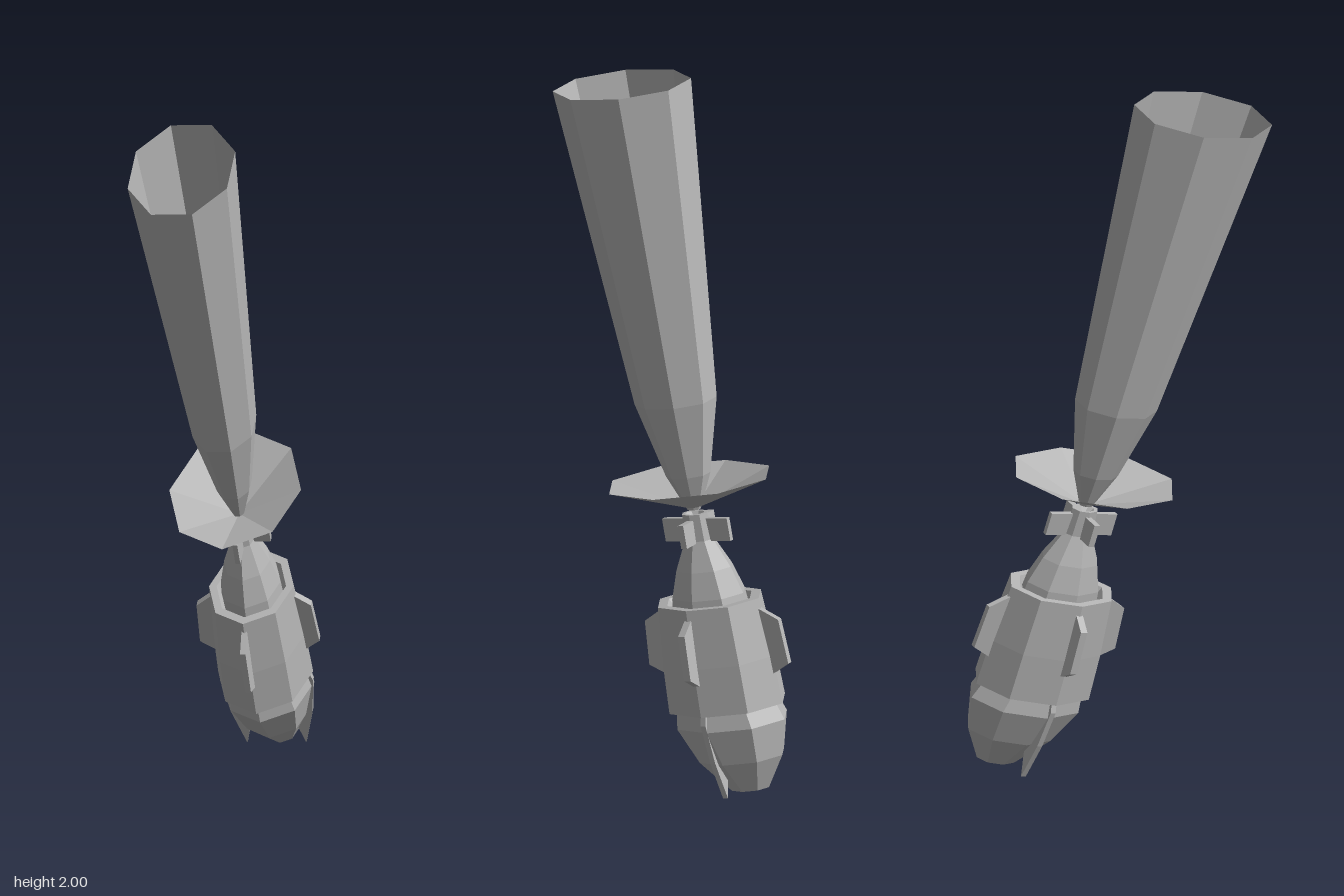
import * as THREE from 'three';

export function createModel() {
  const model = new THREE.Group();
  model.name = 'divingRocket';
  const grey = new THREE.MeshStandardMaterial({ color: 0xb4b4b4, flatShading: true, side: THREE.DoubleSide });
  grey.name = 'plain grey';

  // Lean of the whole craft: axis tipped forward, cross-sections stretched and skewed in depth
  const tilt = 0.272;
  const across = new THREE.Vector3(0, -Math.sin(tilt), Math.cos(tilt));
  const lean = new THREE.Matrix4().makeBasis(
    new THREE.Vector3(1, 0, 0).addScaledVector(across, 0.24),
    new THREE.Vector3(-0.0165, Math.cos(tilt), Math.sin(tilt)),
    across.clone().multiplyScalar(1.3)
  ).setPosition(0, 0.78, -0.08);

  const add = (name, geometry, parent = model) => {
    geometry.applyMatrix4(lean);
    geometry.computeVertexNormals();
    const mesh = new THREE.Mesh(geometry, grey);
    mesh.name = name;
    parent.add(mesh);
  };

  // Eight-sided turned part from [radius, height] pairs, listed bottom to top
  const turned = (points, start = Math.PI / 8) =>
    new THREE.LatheGeometry(points.map(([r, y]) => new THREE.Vector2(r, y)), 8, start);

  // Thin radial plate from [radius, height] pairs
  const plate = (points, angle, thickness = 0.016) => {
    const shape = new THREE.Shape(points.map(([r, y]) => new THREE.Vector2(r, y)));
    return new THREE.ExtrudeGeometry(shape, { depth: thickness, bevelEnabled: false })
      .translate(0, 0, -thickness / 2).rotateY(angle);
  };

  const fins = (name, points, count, thickness) => {
    const group = new THREE.Group();
    group.name = name + 's';
    for (let i = 0; i < count; i++) {
      add(name, plate(points, Math.PI / 8 + (i * 2 * Math.PI) / count, thickness), group);
    }
    model.add(group);
  };

  // Open exhaust plume and the shallow flame dish at its root
  add('exhaustPlume', turned([[0.015, 0], [0.05, 0.1], [0.092, 0.31], [0.155, 1.21]], 0));
  add('flameDish', turned([[0, 0], [0.19, 0.083]]));

  // Tapered tail cone with exhaust neck
  add('tailCone', turned([
    [0.09, -0.29], [0.086, -0.24], [0.066, -0.165], [0.034, -0.085], [0.03, -0.01], [0.022, -0.01], [0, -0.04]
  ]));

  // Main body sleeve with a stepped rear lip
  add('bodySleeve', turned([
    [0.1, -0.55], [0.137, -0.555], [0.133, -0.42], [0.122, -0.255], [0.1, -0.255], [0.086, -0.285]
  ]));

  // Blunt nose that sweeps backward toward its tip
  const nose = turned([[0, -0.79], [0.045, -0.79], [0.1, -0.7], [0.13, -0.6], [0.118, -0.545]]);
  const p = nose.attributes.position;
  for (let i = 0; i < p.count; i++) p.setZ(i, p.getZ(i) + (p.getY(i) + 0.545) * 0.13);
  add('nose', nose);

  // Control surfaces: around the neck, the body and beside the nose
  fins('neckFin', [[0.025, -0.025], [0.08, -0.025], [0.08, -0.09], [0.025, -0.09]], 4, 0.014);
  fins('bodyFin', [[0.11, -0.275], [0.165, -0.315], [0.172, -0.44], [0.12, -0.475]], 4);
  fins('noseFin', [[0.12, -0.54], [0.134, -0.58], [0.118, -0.69], [0.085, -0.8], [0.05, -0.68]], 2, 0.012);

  return model;
}
